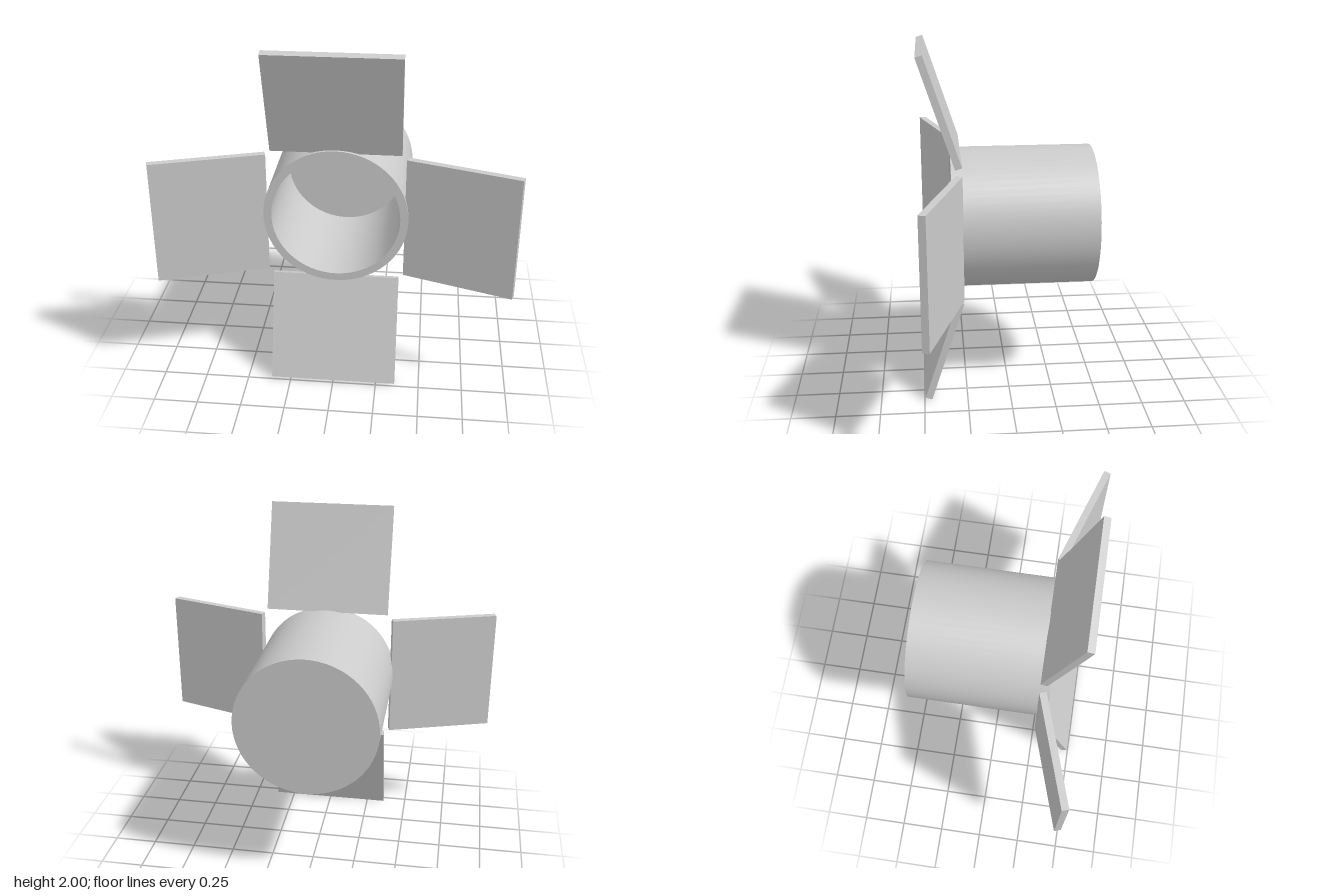
import * as THREE from 'three';

const material = new THREE.MeshStandardMaterial({ color: 0xcccccc });

export function createModel() {
  const model = new THREE.Group();

  // Closed-back drum: each profile span is its own lathe, so edges stay sharp
  const drum = new THREE.Group();
  drum.name = 'drum';
  const profile = [[0, -0.495], [0.405, -0.495], [0.405, 0.32], [0.36, 0.32], [0.36, -0.36], [0, -0.36]]
    .map(([r, y]) => new THREE.Vector2(r, y));
  const spans = ['drumBack', 'drumOuterWall', 'drumRim', 'drumInnerWall', 'drumFloor'];
  spans.forEach((name, i) => {
    const mesh = new THREE.Mesh(new THREE.LatheGeometry([profile[i], profile[i + 1]], 64), material);
    mesh.name = name;
    drum.add(mesh);
  });
  drum.rotation.x = Math.PI / 2; // axis along z, opening to the front
  drum.position.y = 1;
  model.add(drum);

  // Four flat flaps around the opening, splayed forward by 18 degrees
  const flapGeometry = new THREE.BoxGeometry(0.72, 0.634, 0.04);
  ['topFlap', 'leftFlap', 'bottomFlap', 'rightFlap'].forEach((name, i) => {
    const arm = new THREE.Group();
    arm.name = name;
    const panel = new THREE.Mesh(flapGeometry, material);
    panel.name = name + 'Panel';
    panel.position.set(0, 0.692, 0.378);
    panel.rotation.x = Math.PI / 10;
    arm.add(panel);
    arm.position.y = 1;
    arm.rotation.z = -i * Math.PI / 2;
    model.add(arm);
  });

  return model;
}
